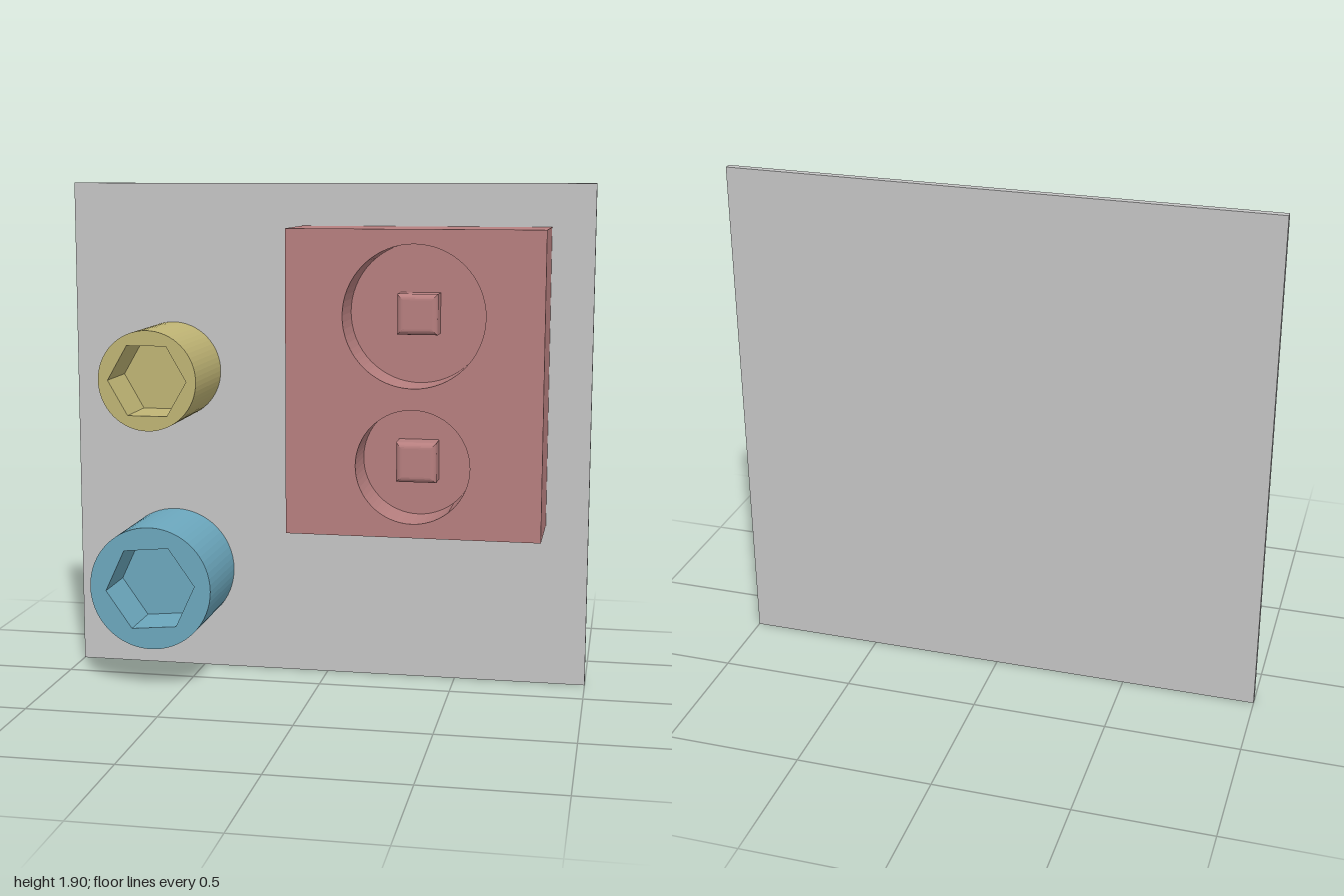
import * as THREE from 'three';

const BACK = -0.2, WALL = -0.173; // rear and front of the backing plate

const gray = new THREE.MeshStandardMaterial({ name: 'plate gray', color: 0xc6c6c6 });
const red = new THREE.MeshStandardMaterial({ name: 'block red', color: 0xb77f7f });
const yellow = new THREE.MeshStandardMaterial({ name: 'knob yellow', color: 0xc0b575 });
const blue = new THREE.MeshStandardMaterial({ name: 'knob blue', color: 0x6ca8be });

function add(parent, name, geometry, material, x = 0, y = 0, z = 0) {
  const mesh = new THREE.Mesh(geometry, material);
  mesh.name = name;
  mesh.position.set(x, y, z);
  parent.add(mesh);
  return mesh;
}

function rectangle(x0, y0, x1, y1) {
  return new THREE.Shape([[x0, y0], [x1, y0], [x1, y1], [x0, y1]].map(p => new THREE.Vector2(...p)));
}

// Regular polygon outline around the origin
function polygon(radius, sides, turn) {
  return Array.from({ length: sides }, (_, i) => {
    const a = turn + (i / sides) * Math.PI * 2;
    return new THREE.Vector2(Math.cos(a) * radius, Math.sin(a) * radius);
  });
}

function extrude(shape, depth) {
  return new THREE.ExtrudeGeometry(shape, { depth, bevelEnabled: false, curveSegments: 32 });
}

// Round post with a hexagonal socket in its front
function socketKnob(name, material, x, y, radius, socketRadius, turn) {
  const group = new THREE.Group();
  group.name = name;
  const front = 0.2, socketDepth = 0.21;
  const shape = new THREE.Shape(polygon(radius, 64, 0));
  const hex = polygon(socketRadius, 6, turn);
  shape.holes.push(new THREE.Path(hex));
  add(group, name + 'Body', extrude(shape, front - WALL), material, x, y, WALL);
  add(group, name + 'SocketFloor', new THREE.ShapeGeometry(new THREE.Shape(hex)), material, x, y, front - socketDepth);
  return group;
}

// Block with two round recesses, each holding a square peg
function recessedBlock() {
  const group = new THREE.Group();
  group.name = 'recessedBlock';
  const front = 0.14, floor = -0.053, pegFront = 0.045, size = 0.15, bevel = 0.022;
  const recesses = [{ name: 'upper', y: 1.427, r: 0.26 }, { name: 'lower', y: 0.879, r: 0.21 }];
  const x = 0.37;
  const shape = rectangle(-0.1, 0.617, 0.84, 1.74);

  const pegHalf = size / 2;
  const pegDepth = pegFront - floor;
  const pegGeometry = new THREE.ExtrudeGeometry(rectangle(-pegHalf, -pegHalf, pegHalf, pegHalf), {
    depth: pegDepth, bevelEnabled: true, bevelThickness: bevel, bevelSize: bevel,
    bevelOffset: -bevel, bevelSegments: 6,
  });

  for (const { name, y, r } of recesses) {
    const outline = polygon(r, 64, 0);
    shape.holes.push(new THREE.Path(outline.map(p => new THREE.Vector2(p.x + x, p.y + y))));
    add(group, name + 'RecessFloor', new THREE.ShapeGeometry(new THREE.Shape(outline)), red, x, y, floor);
    // the rear bevel sits below the recess floor
    add(group, name + 'Peg', pegGeometry, red, x, y, pegFront - bevel - pegDepth);
  }
  add(group, 'blockBody', extrude(shape, front - WALL), red, 0, 0, WALL);
  return group;
}

export function createModel() {
  const model = new THREE.Group();
  model.name = 'wallPanel';
  add(model, 'backingPlate', new THREE.BoxGeometry(2, 1.9, WALL - BACK), gray, 0, 0.95, (WALL + BACK) / 2);
  model.add(recessedBlock());
  model.add(socketKnob('upperKnob', yellow, -0.61, 1.18, 0.187, 0.15, 0));
  model.add(socketKnob('lowerKnob', blue, -0.61, 0.395, 0.234, 0.173, 0.09));
  return model;
}
